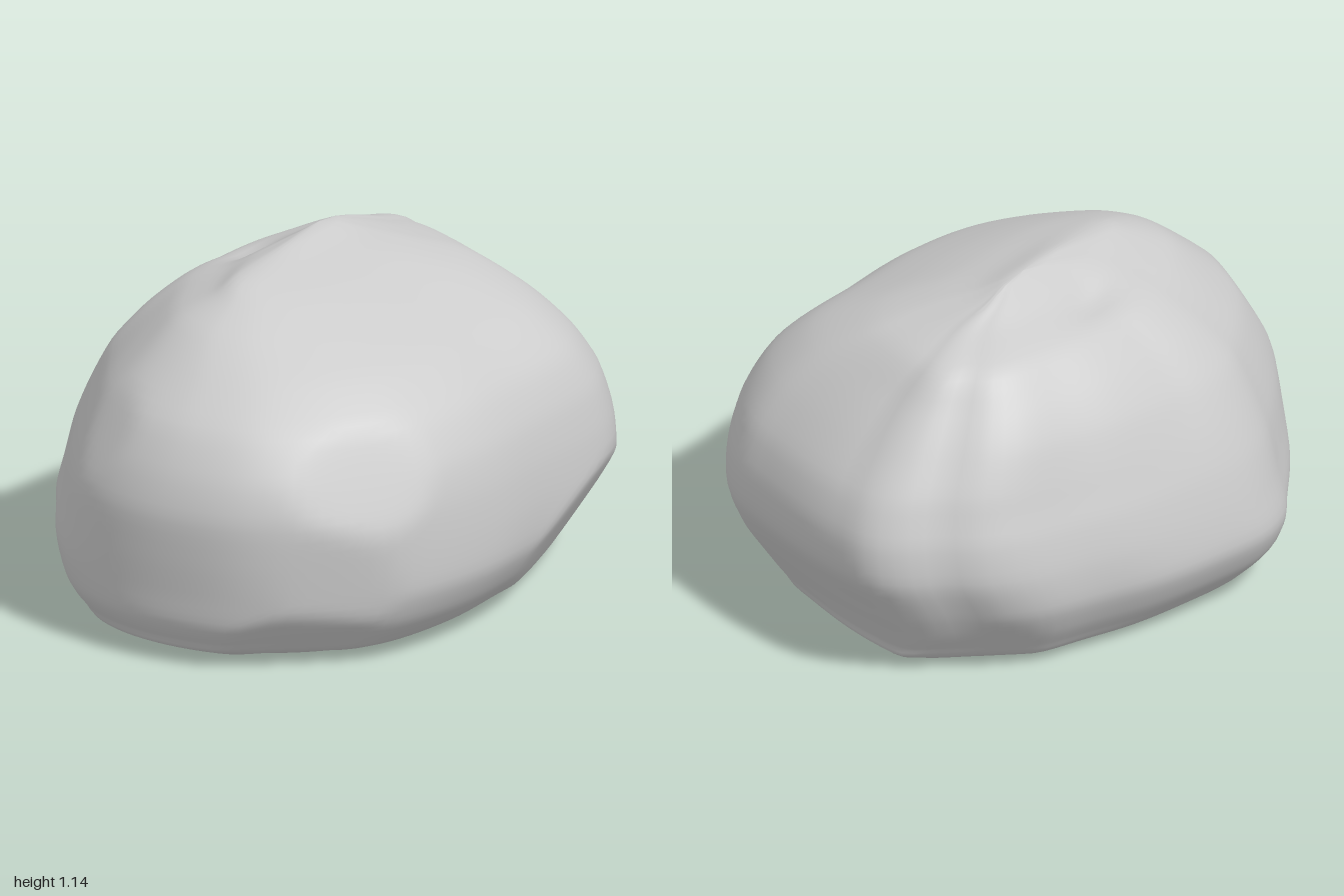
import * as THREE from 'three';
import { toCreasedNormals } from 'three/addons/utils/BufferGeometryUtils.js';

// Plan outline of the boulder (x, z), clockwise seen from above
const OUTLINE = [
  [-0.1, -1], [0.03, -0.98], [0.2, -0.93], [0.44, -0.83], [0.6, -0.75], [0.73, -0.61],
  [0.8, -0.46], [0.8, -0.1], [0.8, 0.2], [0.75, 0.46], [0.69, 0.6], [0.55, 0.78],
  [0.36, 0.92], [0.2, 0.98], [-0.05, 1], [-0.25, 0.96], [-0.4, 0.88], [-0.55, 0.71],
  [-0.71, 0.45], [-0.78, 0.33], [-0.81, 0.18], [-0.77, -0.05], [-0.7, -0.3], [-0.61, -0.5],
  [-0.51, -0.71], [-0.42, -0.81], [-0.32, -0.87], [-0.21, -0.96],
];

// Extents at each height: y, left x, right x, back z, front z
const LEVELS = [
  [0, -0.55, 0.48, -0.45, 0.35],
  [0.03, -0.65, 0.62, -0.79, 0.87],
  [0.08, -0.71, 0.69, -0.83, 0.94],
  [0.15, -0.77, 0.75, -0.87, 0.98],
  [0.25, -0.81, 0.8, -0.93, 0.99],
  [0.38, -0.785, 0.805, -1, 1],
  [0.52, -0.745, 0.79, -1, 1],
  [0.65, -0.69, 0.755, -0.945, 0.96],
  [0.78, -0.62, 0.68, -0.835, 0.88],
  [0.9, -0.52, 0.54, -0.72, 0.74],
  [1.0, -0.4, 0.33, -0.62, 0.6],
  [1.06, -0.25, 0.17, -0.45, 0.47],
  [1.1, -0.17, 0.03, -0.33, 0.35],
  [1.13, -0.11, -0.05, -0.23, 0.08],
];

// Broad worn facets: direction and how far out the cut lies (share of the full reach)
const FACETS = [
  [0.75, 0.4, 0.55, 0.95], [0.7, -0.1, 0.7, 0.97], [0.5, -0.6, 0.6, 0.96],
  [0.82, -0.53, -0.22, 0.9], [-0.5, 0.5, 0.7, 0.97], [-0.5, -0.6, -0.6, 0.96],
];

const SEGMENTS = 112;
const RINGS = 56;

function boulderPoints() {
  const { mapLinear, smoothstep } = THREE.MathUtils;
  const outline = new THREE.CatmullRomCurve3(
    OUTLINE.map(([x, z]) => new THREE.Vector3(x, 0, z)), true).getSpacedPoints(SEGMENTS);
  const spline = (pick) => new THREE.CatmullRomCurve3(
    LEVELS.map((l) => new THREE.Vector3(...pick(l))), false, 'catmullrom', 0.4);
  const across = spline((l) => [l[0], l[1], l[2]]);
  const along = spline((l) => [0, l[3], l[4]]);

  const points = [];
  for (let i = 0; i <= RINGS; i++) {
    const a = across.getPoint(i / RINGS);
    const b = along.getPoint(i / RINGS);
    // The upper part is fuller at the back corners and leaner at the front left
    const upper = smoothstep(a.x, 0.55, 0.95);
    for (let j = 0; j < SEGMENTS; j++) {
      const u = mapLinear(outline[j].x, -0.81, 0.8, -1, 1);
      const v = outline[j].z;
      const swell = 1 + upper * (0.2 * Math.max(0, -u) * Math.max(0, -v) - 0.07 * Math.max(0, u) * v);
      points.push(new THREE.Vector3(
        mapLinear(u * swell, -1, 1, a.y, a.z),
        Math.max(0, a.x),
        mapLinear(v * swell, -1, 1, b.y, b.z)));
    }
  }

  // Flatten the facets with soft borders
  for (const [x, y, z, share] of FACETS) {
    const n = new THREE.Vector3(x, y, z).normalize();
    const reach = (p) => n.dot(p) - 0.5 * n.y;
    const limit = share * Math.max(...points.map(reach));
    for (const p of points) {
      const over = Math.max(0, reach(p) - limit);
      p.addScaledVector(n, -over * over / (over + 0.02));
    }
  }

  // Shallow chip beside the crest
  for (const p of points) {
    const chip = Math.exp(-(((p.x + 0.27) / 0.06) ** 2) - ((p.z + 0.02) / 0.12) ** 2);
    if (p.y > 0.8) p.y -= 0.025 * chip;
  }
  return points;
}

function boulderGeometry() {
  const points = boulderPoints();
  const index = [];
  const bottom = points.push(new THREE.Vector3(-0.03, 0, -0.05)) - 1;
  const top = points.push(new THREE.Vector3(-0.09, 1.142, -0.13)) - 1;
  for (let j = 0; j < SEGMENTS; j++) {
    const k = (j + 1) % SEGMENTS;
    for (let i = 0; i < RINGS; i++) {
      const r = i * SEGMENTS;
      const s = r + SEGMENTS;
      index.push(r + j, s + j, r + k, r + k, s + j, s + k);
    }
    index.push(bottom, j, k, top, RINGS * SEGMENTS + k, RINGS * SEGMENTS + j);
  }
  const geometry = new THREE.BufferGeometry().setFromPoints(points);
  geometry.setIndex(index);
  return toCreasedNormals(geometry, 0.7);
}

export function createModel() {
  const group = new THREE.Group();
  group.name = 'rock';
  const boulder = new THREE.Mesh(
    boulderGeometry(), new THREE.MeshStandardMaterial({ color: 0xcccccc }));
  boulder.name = 'boulder';
  group.add(boulder);
  return group;
}
